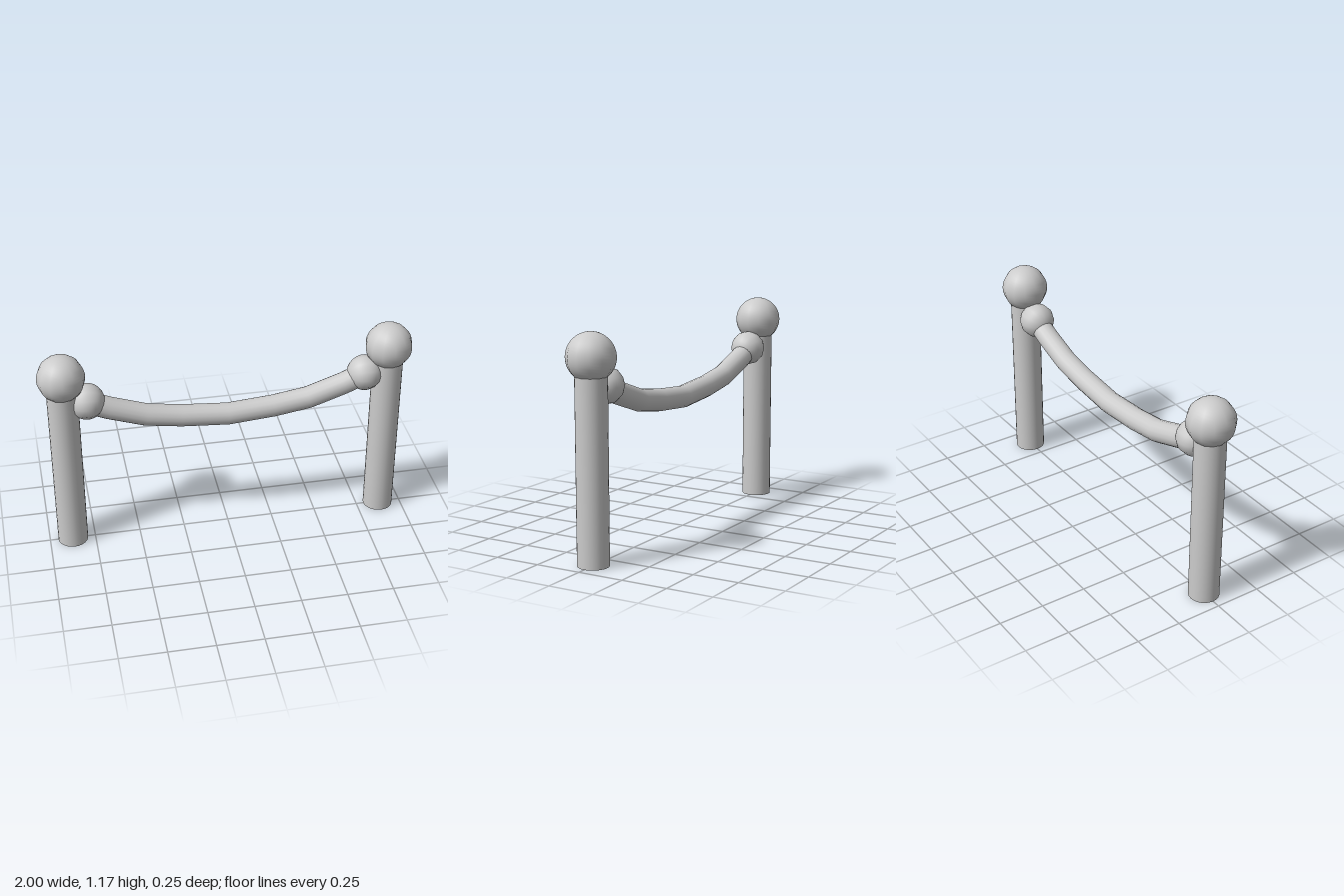
import * as THREE from 'three';

// Sagging rope centre line: straight runs between the given points
class RopeCurve extends THREE.Curve {
  constructor(points) {
    super();
    this.points = points;
  }
  getPoint(t, target = new THREE.Vector3()) {
    const last = this.points.length - 1;
    const s = THREE.MathUtils.clamp(t, 0, 1) * last;
    const i = Math.min(Math.floor(s), last - 1);
    return target.lerpVectors(this.points[i], this.points[i + 1], s - i);
  }
  getUtoTmapping(u) {
    return u;
  }
}

export function createModel() {
  const model = new THREE.Group();
  model.name = 'ropeBarrier';
  const grey = new THREE.MeshStandardMaterial({ color: 0xcccccc });

  const add = (name, geometry, x = 0, y = 0) => {
    const mesh = new THREE.Mesh(geometry, grey);
    mesh.name = name;
    mesh.position.set(x, y, 0);
    model.add(mesh);
    return mesh;
  };

  const postHeight = 0.97;
  for (const [side, s] of [['left', 1], ['right', -1]]) {
    // Upright post with its ball finial
    add(side + 'Post', new THREE.CylinderGeometry(0.082, 0.082, postHeight, 24), s * 0.873, postHeight / 2);
    add(side + 'Finial', new THREE.SphereGeometry(0.126, 12, 24), s * 0.873, 1.046);
    // Rope end knob, its poles pointing along the rope
    const knob = add(side + 'Knob', new THREE.SphereGeometry(0.096, 12, 24), s * 0.748, 0.89);
    knob.rotation.z = Math.PI / 2;
  }

  // Hanging rope, half given and mirrored
  const half = [[0.75, 0.885], [0.635, 0.835], [0.44, 0.768], [0.25, 0.738]];
  const points = [
    ...half.map(([x, y]) => new THREE.Vector3(-x, y, 0)),
    new THREE.Vector3(0, 0.718, 0),
    ...half.map(([x, y]) => new THREE.Vector3(x, y, 0)).reverse(),
  ];
  add('rope', new THREE.TubeGeometry(new RopeCurve(points), points.length - 1, 0.06, 16, false));

  return model;
}
